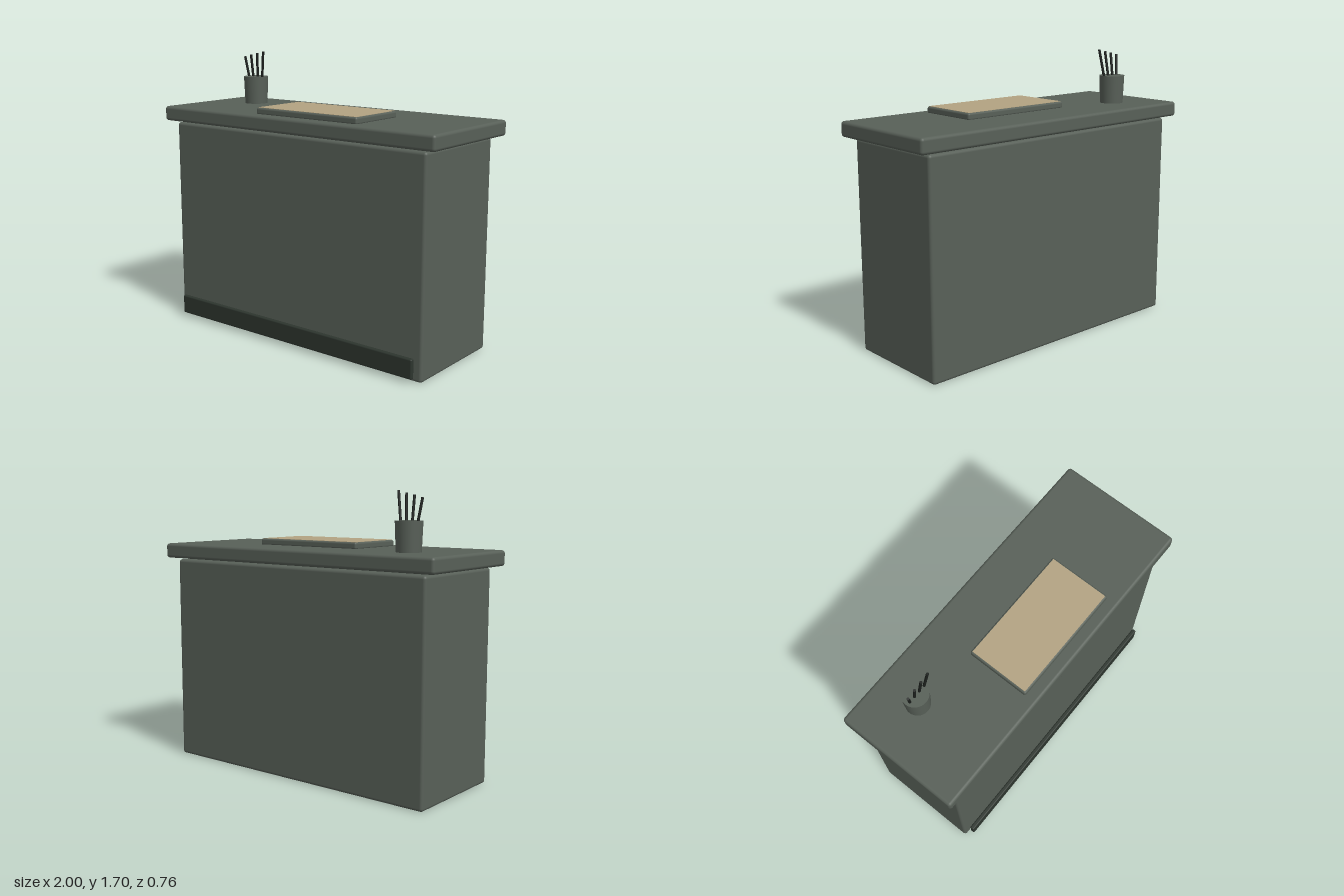
import * as THREE from 'three';
import { RoundedBoxGeometry } from 'three/addons/geometries/RoundedBoxGeometry.js';

export function createModel() {
  const group = new THREE.Group();
  const mat = (name, color) => {
    const m = new THREE.MeshStandardMaterial({ color });
    m.name = name;
    return m;
  };
  const slate = mat('slateGreen', 0x586058);
  const dark = mat('darkGreen', 0x2d352e);
  const ink = mat('penBlack', 0x1d211e);
  const tan = mat('tanPaper', 0xb3a382);

  const add = (name, geometry, material) => {
    const mesh = new THREE.Mesh(geometry, material);
    mesh.name = name;
    group.add(mesh);
    return mesh;
  };
  // Rounded box given by its minimum and maximum corners
  const block = (name, min, max, radius, material) => {
    const size = max.map((v, i) => v - min[i]);
    const mesh = add(name, new RoundedBoxGeometry(...size, 3, radius), material);
    mesh.position.set(...max.map((v, i) => (v + min[i]) / 2));
  };

  // Counter body, worktop and kick plate
  block('counterBody', [-0.928, 0, -0.34], [0.928, 1.265, 0.34], 0.018, slate);
  block('worktop', [-1, 1.275, -0.378], [1, 1.365, 0.378], 0.018, slate);
  block('kickPlate', [-0.886, 0.025, 0.35], [0.886, 0.14, 0.378], 0.008, dark);

  // Desk pad with a thin paper sheet on top
  block('deskPad', [-0.283, 1.36, -0.08], [0.455, 1.402, 0.306], 0.012, slate);
  const sheet = add('paperSheet', new THREE.BoxGeometry(0.718, 0.004, 0.366), tan);
  sheet.position.set(0.086, 1.4015, 0.113);

  // Pen cup
  const cup = add('penCup', new THREE.CylinderGeometry(0.078, 0.071, 0.172, 32), slate);
  cup.position.set(-0.675, 1.45, -0.12);

  // Pens fanning out of the cup: x at the rim, x and y at the tip
  const up = new THREE.Vector3(0, 1, 0);
  [
    [-0.725, -0.742, 1.662],
    [-0.690, -0.690, 1.675],
    [-0.652, -0.638, 1.685],
    [-0.615, -0.585, 1.698],
  ].forEach(([rimX, tipX, tipY], i) => {
    const rim = new THREE.Vector3(rimX, 1.52, -0.112);
    const tip = new THREE.Vector3(tipX, tipY, -0.092);
    const axis = tip.clone().sub(rim);
    const pen = add('pen' + (i + 1), new THREE.CylinderGeometry(0.008, 0.008, axis.length(), 10), ink);
    pen.position.copy(rim).add(tip).multiplyScalar(0.5);
    pen.quaternion.setFromUnitVectors(up, axis.normalize());
  });

  return group;
}
